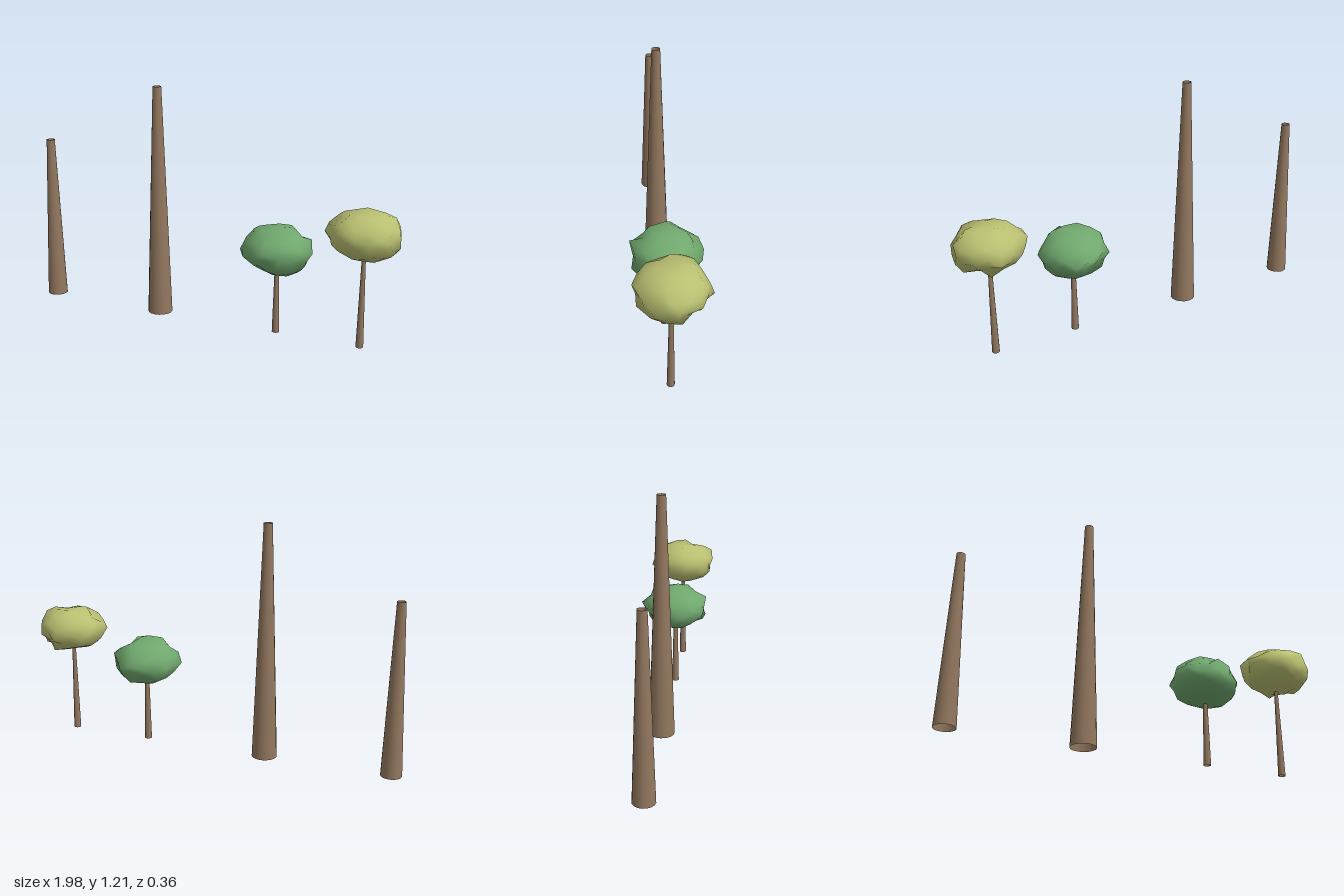
import * as THREE from 'three';
import { mergeVertices } from 'three/addons/utils/BufferGeometryUtils.js';

const Z = -0.006;

// Small seeded generator for the crown bumps
function seeded(seed) {
  let s = seed;
  return () => {
    s = (s * 16807) % 2147483647;
    return s / 2147483647;
  };
}

// Tapered trunk, open at both ends
function makeTrunk(name, material, x, height, bottom, top) {
  const geo = new THREE.CylinderGeometry(top, bottom, height, 16, 1, true);
  geo.translate(0, height / 2, 0);
  const mesh = new THREE.Mesh(geo, material);
  mesh.name = name;
  mesh.position.set(x, 0, Z);
  return mesh;
}

// Flattened ball with jagged bumps; keeps the round normals for soft shading
function makeCrown(name, material, x, y, size, seed) {
  const rand = seeded(seed);
  let geo = new THREE.IcosahedronGeometry(1, 2);
  geo.deleteAttribute('uv');
  geo = mergeVertices(geo, 1e-3);
  const p = geo.attributes.position;
  const v = new THREE.Vector3();
  for (let i = 0; i < p.count; i++) {
    const r = 0.87 + 0.18 * rand();
    v.fromBufferAttribute(p, i).multiplyScalar(r);
    v.x += (rand() - 0.5) * 0.14;
    v.y += (rand() - 0.5) * 0.14;
    v.z += (rand() - 0.5) * 0.14;
    p.setXYZ(i, v.x, v.y, v.z);
  }
  geo.scale(size[0], size[1], size[2]);
  const mesh = new THREE.Mesh(geo, material);
  mesh.name = name;
  mesh.position.set(x, y, Z);
  return mesh;
}

export function createModel() {
  const bark = new THREE.MeshStandardMaterial({ color: 0x93785f, side: THREE.DoubleSide });
  bark.name = 'bark brown';
  const green = new THREE.MeshStandardMaterial({ color: 0x70a86e, side: THREE.DoubleSide });
  green.name = 'leaf green';
  const olive = new THREE.MeshStandardMaterial({ color: 0xb9bf70, side: THREE.DoubleSide });
  olive.name = 'leaf yellow green';

  const model = new THREE.Group();
  model.name = 'trees';

  // Bare trunks
  model.add(makeTrunk('shortBareTrunk', bark, -0.946, 0.882, 0.054, 0.022));
  model.add(makeTrunk('tallBareTrunk', bark, -0.289, 1.211, 0.065, 0.022));

  // Leafy trees
  const greenTree = new THREE.Group();
  greenTree.name = 'greenTree';
  greenTree.add(
    makeTrunk('greenTreeTrunk', bark, 0.373, 0.4, 0.019, 0.01),
    makeCrown('greenTreeCrown', green, 0.373, 0.44, [0.178, 0.122, 0.178], 41)
  );
  const oliveTree = new THREE.Group();
  oliveTree.name = 'yellowGreenTree';
  oliveTree.add(
    makeTrunk('yellowGreenTreeTrunk', bark, 0.811, 0.54, 0.019, 0.008),
    makeCrown('yellowGreenTreeCrown', olive, 0.811, 0.577, [0.178, 0.122, 0.178], 977)
  );
  model.add(greenTree, oliveTree);
  return model;
}
